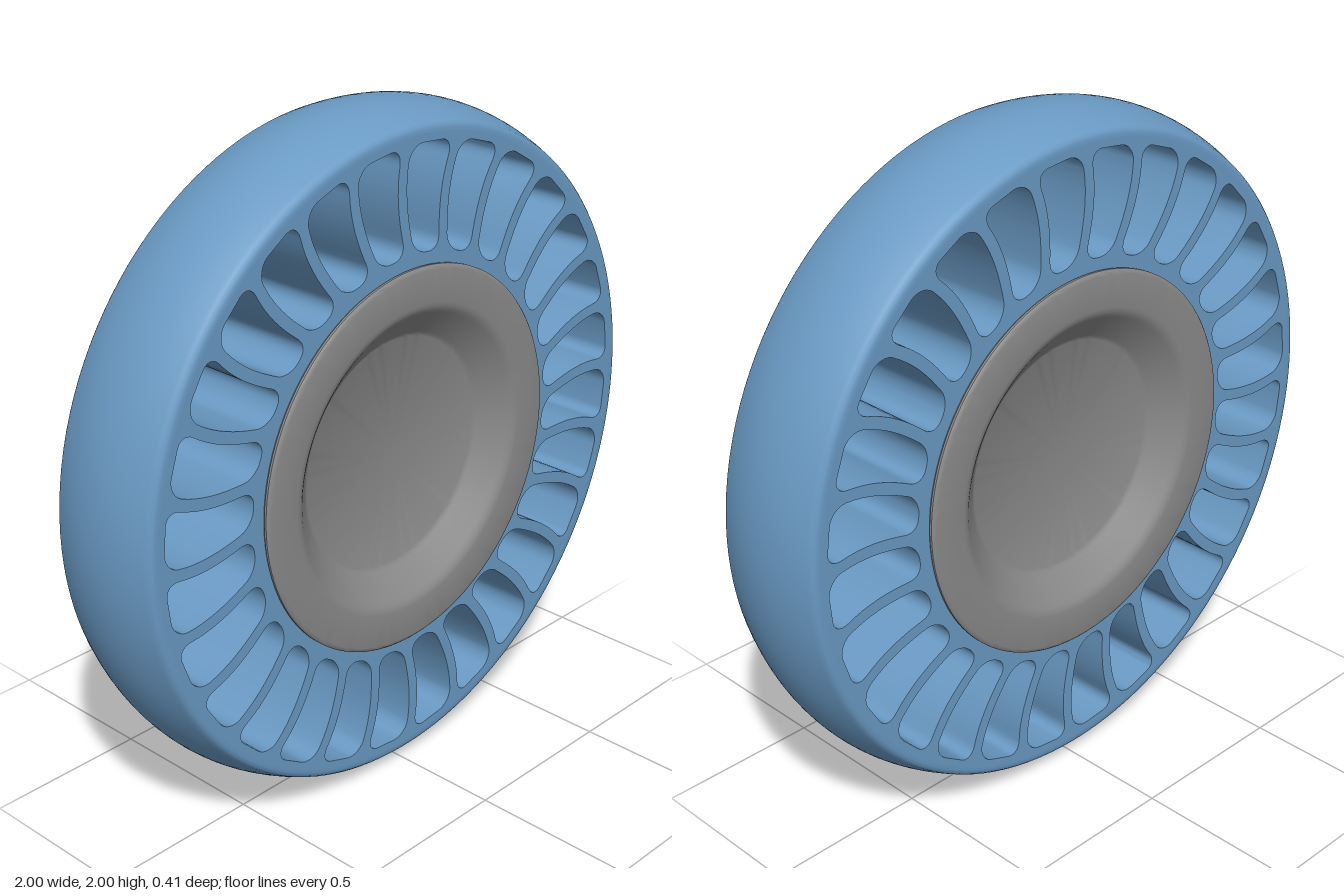
import * as THREE from 'three';
import { toCreasedNormals } from 'three/addons/utils/BufferGeometryUtils.js';

const HOLES = 28;
const HALF_WIDTH = 0.183;
const R_IN = 0.605, R_OUT = 0.912; // radial span of the openings
const SPOKE = 0.035; // spoke thickness
const CORNER = 0.045; // rounding of the openings

// Angle by which a curved spoke bows at radius r
function bow(r) {
  const t = (2 * r - R_IN - R_OUT) / (R_OUT - R_IN);
  return THREE.MathUtils.degToRad(2.4 - 1.9 * t * t + 0.5 * t);
}

// Rounded, curved opening between two neighbouring spokes
function openingPath(index) {
  const samples = []; // [radius, inset caused by the corner rounding]
  for (let i = 0; i <= 6; i++) {
    const a = (i / 6) * Math.PI / 2;
    samples.push([R_IN + CORNER * (1 - Math.cos(a)), CORNER * (1 - Math.sin(a))]);
  }
  for (let i = 1; i < 8; i++) {
    samples.push([THREE.MathUtils.lerp(R_IN + CORNER, R_OUT - CORNER, i / 8), 0]);
  }
  for (let i = 6; i >= 0; i--) {
    const a = (i / 6) * Math.PI / 2;
    samples.push([R_OUT - CORNER * (1 - Math.cos(a)), CORNER * (1 - Math.sin(a))]);
  }
  const step = (2 * Math.PI) / HOLES;
  const side = (sign) => samples.map(([r, inset]) => {
    const half = (step * r - SPOKE) / 2 - inset;
    const angle = (index + 0.5) * step + bow(r) + sign * half / r;
    return new THREE.Vector2(r * Math.cos(angle), r * Math.sin(angle));
  });
  return new THREE.Path([...side(1), ...side(-1).reverse()]);
}

// Revolves a half profile, mirrored front to back, around the z axis
function revolve(half, crease) {
  const back = half.map(([r, z]) => new THREE.Vector2(r, -z));
  const front = half.map(([r, z]) => new THREE.Vector2(r, z)).reverse();
  if (half[half.length - 1][1] === 0) front.shift();
  const geometry = new THREE.LatheGeometry([...back, ...front], 128);
  geometry.rotateX(Math.PI / 2);
  return toCreasedNormals(geometry, crease);
}

export function createModel() {
  const group = new THREE.Group();
  const blue = new THREE.MeshStandardMaterial({ color: 0x6a9ac4 });
  const grey = new THREE.MeshStandardMaterial({ color: 0x8a8a8a });

  const add = (name, geometry, material) => {
    const mesh = new THREE.Mesh(geometry, material);
    mesh.name = name;
    mesh.position.y = 1;
    group.add(mesh);
  };

  // Ring of curved spokes
  const ring = new THREE.Shape().absarc(0, 0, 0.935, 0, Math.PI * 2, false);
  ring.holes.push(new THREE.Path().absarc(0, 0, 0.53, 0, Math.PI * 2, true));
  for (let i = 0; i < HOLES; i++) ring.holes.push(openingPath(i));
  const spokes = new THREE.ExtrudeGeometry(ring, {
    depth: HALF_WIDTH * 2, bevelEnabled: false, curveSegments: 64,
  });
  spokes.translate(0, 0, -HALF_WIDTH);
  add('spokeRing', toCreasedNormals(spokes, 0.6), blue);

  // Crowned tread with rounded shoulders
  const tread = [[0.93, HALF_WIDTH], [0.944, HALF_WIDTH], [0.954, 0.18], [0.961, 0.172]];
  for (let i = 0; i <= 8; i++) {
    const z = 0.16 * (1 - i / 8);
    tread.push([1 - 0.034 * (z / 0.16) ** 2, z]);
  }
  add('tread', revolve(tread, 0.7), blue);

  // Hub disc with a sunken dish and a rounded rim on both faces
  add('hub', revolve([
    [0, 0.122], [0.345, 0.122], [0.352, 0.125], [0.36, 0.131],
    [0.43, 0.19], [0.44, 0.197], [0.45, 0.202], [0.462, 0.204],
    [0.558, 0.204], [0.566, 0.202], [0.571, 0.197], [0.571, 0.19], [0.566, 0.184], [0.566, 0],
  ], 0.6), grey);

  return group;
}
